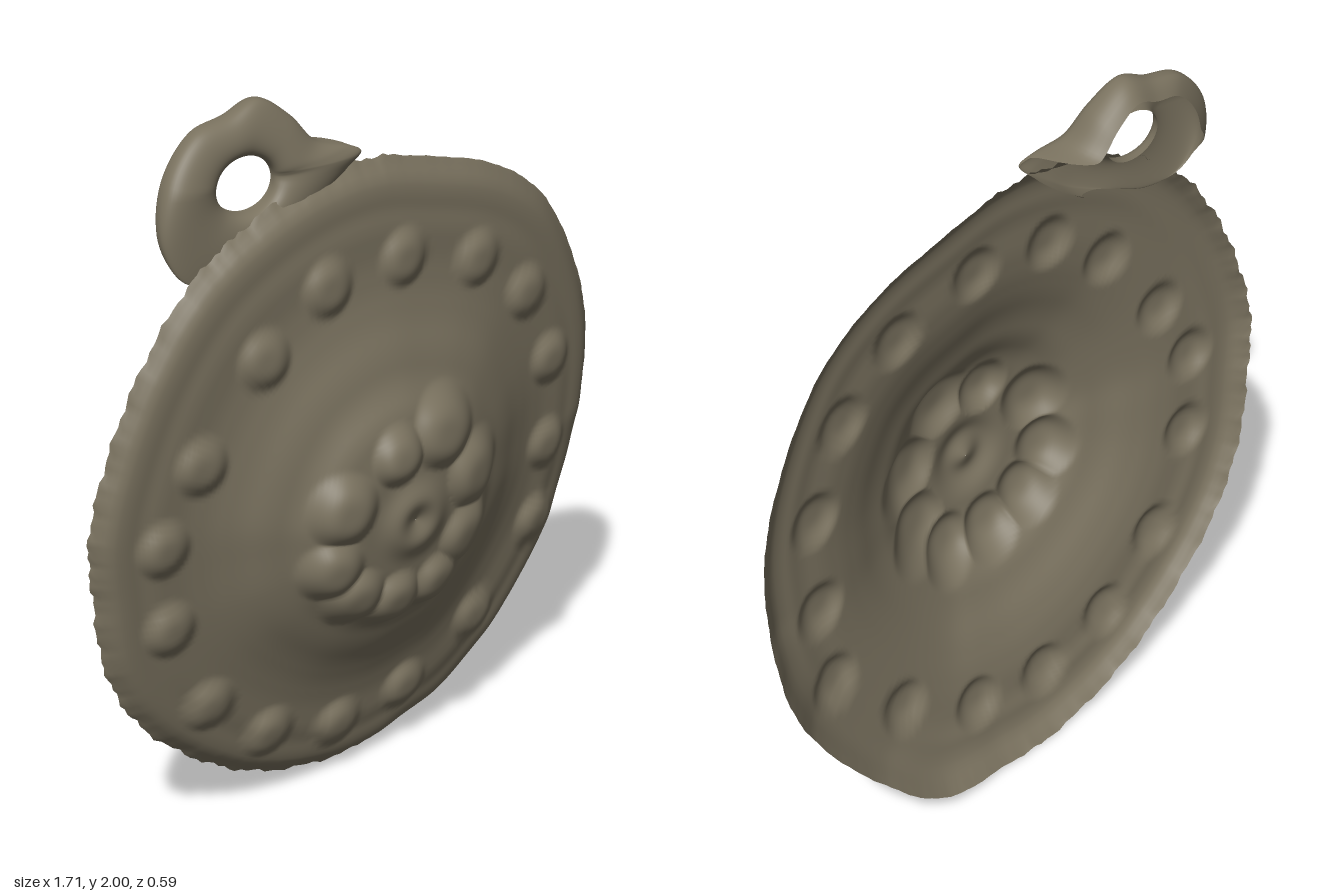
import * as THREE from 'three';

const V = (x, y, z = 0) => new THREE.Vector3(x, y, z);
const { lerp, clamp, smoothstep } = THREE.MathUtils;
const CENTRE = V(0.06, 0.85);

// Outline of the plate, anticlockwise from the right
const RIM = [
  [0.85, 0.9], [0.845, 1.1], [0.79, 1.29], [0.64, 1.54], [0.46, 1.67], [0.2, 1.755], [0, 1.795], [-0.2, 1.775],
  [-0.4, 1.7], [-0.55, 1.6], [-0.7, 1.41], [-0.8, 1.2], [-0.855, 1.0], [-0.845, 0.82], [-0.81, 0.6],
  [-0.71, 0.4], [-0.51, 0.2], [-0.3, 0.07], [-0.03, 0.0], [0.2, 0.02], [0.36, 0.06], [0.55, 0.22],
  [0.74, 0.48], [0.83, 0.7],
];
// Small beads near the rim
const BEADS = [
  [-0.16, 1.51], [0.09, 1.53], [0.35, 1.46], [0.54, 1.31], [0.65, 1.08], [0.66, 0.81], [0.64, 0.57], [0.42, 0.34],
  [0.17, 0.2], [-0.07, 0.17], [-0.31, 0.24], [-0.51, 0.41], [-0.64, 0.69], [-0.66, 0.93], [-0.55, 1.13], [-0.36, 1.37],
];
// Rosette knobs: x, y, radius
const KNOBS = [
  [0.16, 1.08, 0.12], [0.28, 0.92, 0.12], [0.26, 0.73, 0.115], [0.16, 0.62, 0.1], [0.01, 0.61, 0.1],
  [-0.12, 0.66, 0.1], [-0.2, 0.77, 0.1], [-0.17, 0.94, 0.11], [0.0, 1.05, 0.09],
];
// Relief profile of the dome: fraction of radius, height
const PROFILE = [
  [0, 0.267], [0.2, 0.264], [0.32, 0.237], [0.4, 0.19], [0.48, 0.165], [0.56, 0.13], [0.64, 0.105],
  [0.72, 0.09], [0.82, 0.083], [0.87, 0.07], [0.91, 0.071], [0.965, 0.05], [1, 0],
];

function profileHeight(s) {
  let i = 1;
  while (i < PROFILE.length - 1 && s > PROFILE[i][0]) i++;
  const [a, ha] = PROFILE[i - 1], [b, hb] = PROFILE[i];
  return lerp(ha, hb, (s - a) / (b - a));
}

// Soft bump of a given radius and height
function bump(x, y, cx, cy, radius, height) {
  const q = 1 - ((x - cx) ** 2 + (y - cy) ** 2) / (radius * radius);
  return q > 0 ? height * q * q * (3 - 2 * q) : 0;
}

function plateZ(x, y, s) {
  const r = Math.hypot(x - CENTRE.x, y - CENTRE.y);
  let z = -0.03 - 0.27 * x + 0.08 * (y - 0.9);
  // average nearby profile values to soften its corners
  for (const d of [-0.02, 0, 0.02]) z += profileHeight(clamp(s + d, 0, 1)) / 3;
  // the left edge flattens forward, the lower right edge bends back
  z += 0.02 * s ** 4 * Math.max(0, CENTRE.x - x);
  z -= s ** 6 * (bump(x, y, 0.84, 0.68, 0.2, 0.025) + bump(x, y, 0.36, 0.06, 0.25, 0.02));
  for (const [cx, cy] of BEADS) z += bump(x, y, cx, cy, 0.085, 0.03);
  let knob = 0;
  for (const [cx, cy, cr] of KNOBS) knob = Math.max(knob, bump(x, y, cx, cy, cr, 0.04));
  // central button with a shallow dish
  const button = 0.026 * Math.exp(-(((r - 0.06) / 0.045) ** 2));
  return z + Math.max(knob, button);
}

// Closed sheet made of rings of points, each wrapping round
function ringSheet(rings) {
  const n = rings[0].length, index = [];
  for (let i = 0; i < rings.length - 1; i++) {
    for (let j = 0; j < n; j++) {
      const a = i * n + j, b = i * n + ((j + 1) % n);
      index.push(a, a + n, b, b, a + n, b + n);
    }
  }
  const g = new THREE.BufferGeometry().setFromPoints(rings.flat());
  g.setIndex(index);
  g.computeVertexNormals();
  return g;
}

function closedPoints(points, count) {
  return new THREE.CatmullRomCurve3(points, true, 'centripetal').getPoints(count).slice(0, count);
}

function plateGeometry() {
  const rim = closedPoints(RIM.map(([x, y]) => V(x, y)), 260);
  const rings = [];
  for (let i = 0; i <= 85; i++) {
    const s = Math.max(i / 85, 0.001);
    rings.push(rim.map((p, j) => {
      // slightly worn edge
      const wear = (p.x < 0.1 ? 0.004 : 0.001) * s ** 40 * (Math.sin(j * 2.3) + Math.sin(j * 0.9));
      const q = CENTRE.clone().lerp(p, s * (1 - wear));
      q.z = plateZ(q.x, q.y, s);
      return q;
    }));
  }
  return ringSheet(rings);
}

function loopGeometry() {
  // Outer edge with its own depth, anticlockwise from the hooked tip
  const outer = closedPoints([
    V(-0.025, 1.825, 0.07), V(-0.06, 1.845, 0.07), V(-0.15, 1.87, 0.06), V(-0.22, 1.945, 0.06), V(-0.31, 2.0, 0.07),
    V(-0.4, 1.97, 0.08), V(-0.5, 1.945, 0.1), V(-0.59, 1.84, 0.13), V(-0.612, 1.7, 0.16), V(-0.56, 1.6, 0.18),
    V(-0.46, 1.58, 0.175), V(-0.33, 1.63, 0.145), V(-0.2, 1.69, 0.11), V(-0.12, 1.745, 0.08), V(-0.06, 1.79, 0.06),
  ], 120);
  const hub = V(-0.365, 1.8);
  const rings = [];
  for (let i = 0; i <= 24; i++) {
    const s = i / 24;
    rings.push(outer.map((p) => {
      const a = Math.atan2(p.y - hub.y, p.x - hub.x);
      const q = V(hub.x + 0.085 * Math.cos(a), hub.y + 0.07 * Math.sin(a));
      // the section bows out to the front between the two edges
      q.lerp(V(p.x, p.y), 0.5 - 0.5 * Math.cos(Math.PI * s));
      const inner = 0.1 - 0.2 * (q.x + 0.365);
      const front = 0.16 - 0.17 * (q.x + 0.365) - 0.25 * Math.max(0, q.y - 1.82);
      const edge = lerp(inner, p.z, s);
      q.z = lerp(edge, Math.max(front, edge), Math.sin(Math.PI * s) ** 0.7);
      return q;
    }));
  }
  // outer wall running back to a slanted cut, fading out at the tip and foot
  for (let i = 1; i <= 6; i++) {
    const t = i / 6;
    rings.push(outer.map((p) => {
      const w = t * smoothstep(p.y, 1.64, 1.78) * smoothstep(-p.x, 0.05, 0.14);
      const q = V(p.x, p.y).lerp(hub, 0.22 * w * w);
      q.z = lerp(p.z, Math.min(p.z, -0.105 - 0.33 * q.x), w);
      return q;
    }));
  }
  return ringSheet(rings);
}

export function createModel() {
  const bronze = new THREE.MeshStandardMaterial({ color: 0x7a725f, side: THREE.DoubleSide });
  bronze.name = 'aged bronze';
  const group = new THREE.Group();
  group.name = 'pendant';
  const add = (name, geometry) => {
    const mesh = new THREE.Mesh(geometry, bronze);
    mesh.name = name;
    group.add(mesh);
  };
  add('embossedPlate', plateGeometry());
  add('hangingLoop', loopGeometry());
  return group;
}
